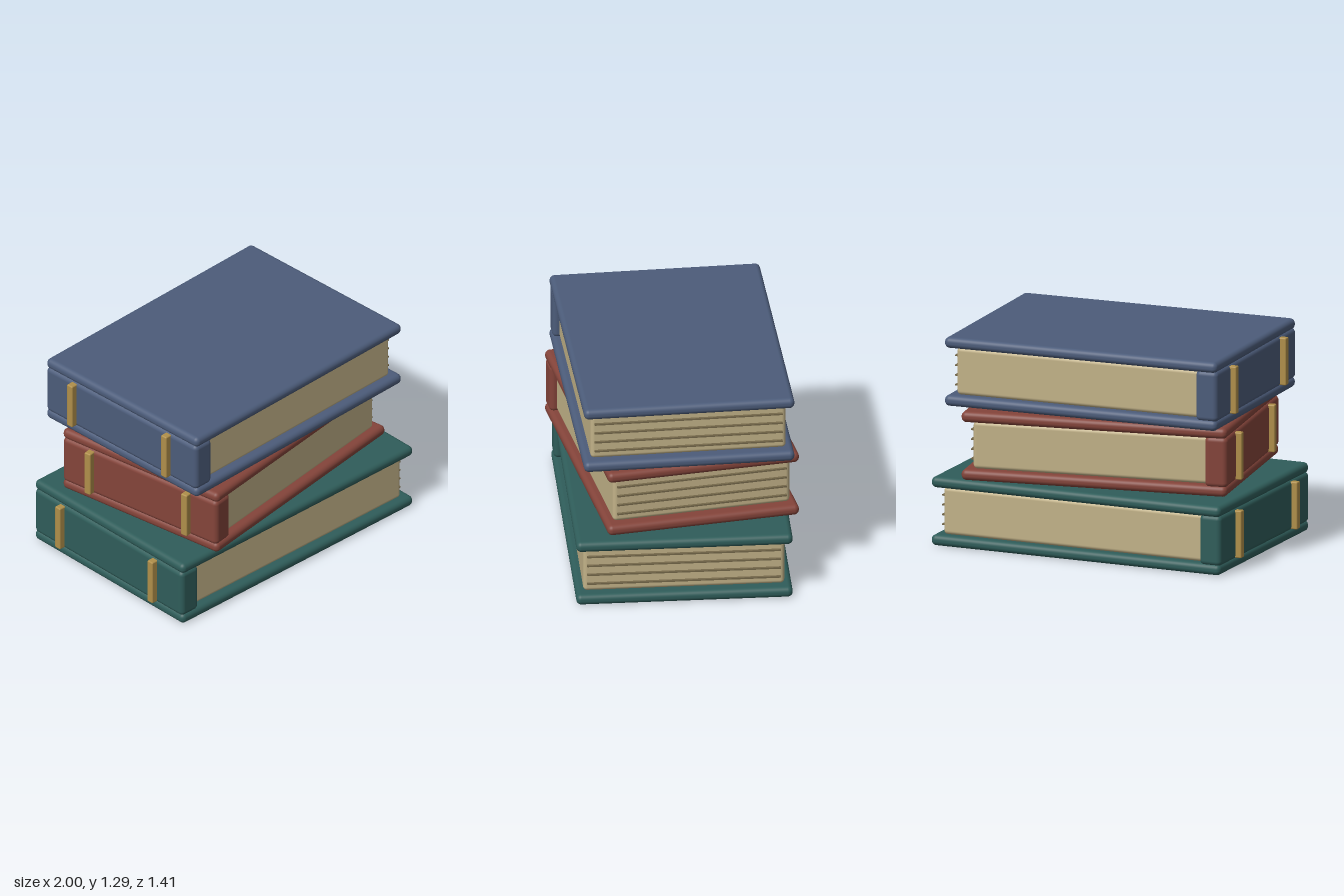
import * as THREE from 'three';
import { RoundedBoxGeometry } from 'three/addons/geometries/RoundedBoxGeometry.js';

const material = (color) => new THREE.MeshStandardMaterial({ color });
const pageMat = material(0xc2b288);
const lineMat = material(0x75684a);
const goldMat = material(0xb08f4a);

const HEIGHT = 0.42;   // one closed book
const PITCH = 0.433;   // book height plus a small gap
const COVER = 0.066;   // cover thickness

// Rounded box from its size and centre
function block(parent, name, size, centre, radius, mat) {
  const mesh = new THREE.Mesh(new RoundedBoxGeometry(...size, 4, radius), mat);
  mesh.name = name;
  mesh.position.set(...centre);
  parent.add(mesh);
}

// A closed book lying flat, spine towards -x
function createBook(name, width, depth, color) {
  const book = new THREE.Group();
  book.name = name;
  const mat = material(color);
  const left = -width / 2;
  const mid = HEIGHT / 2;

  // Covers
  block(book, 'bottomCover', [width, COVER, depth], [0, COVER / 2, 0], 0.03, mat);
  block(book, 'topCover', [width, COVER, depth], [0, HEIGHT - COVER / 2, 0], 0.03, mat);

  // Spine between the covers
  block(book, 'spine', [0.14, 0.31, depth - 0.01], [left + 0.067, mid, 0], 0.03, mat);

  // Page block, set back from the cover edges
  const pageLeft = left + 0.06;
  const pageRight = width / 2 - 0.063;
  const pageDepth = depth - 0.09;
  block(book, 'pages', [pageRight - pageLeft, 0.29, pageDepth],
    [(pageLeft + pageRight) / 2, mid, 0], 0.025, pageMat);

  // Page lines along the fore edge
  for (let i = 0; i < 4; i++) {
    const line = new THREE.Mesh(new THREE.BoxGeometry(0.03, 0.009, pageDepth - 0.045), lineMat);
    line.name = 'pageLine';
    line.position.set(pageRight + 0.001, mid + (i - 1.5) * 0.06, 0);
    book.add(line);
  }

  // Raised bands across the spine
  for (const side of [-1, 1]) {
    block(book, 'spineBand', [0.05, 0.29, 0.045],
      [left - 0.015, mid, side * depth * 0.31], 0.008, goldMat);
  }
  return book;
}

export function createModel() {
  const stack = new THREE.Group();
  stack.name = 'bookStack';

  // Name, width, depth, turn, colour: from the bottom up
  const books = [
    ['bottomBook', 1.89, 1.29, -0.07, 0x2f5d5a],
    ['middleBook', 1.64, 1.17, 0.085, 0x84443a],
    ['topBook', 1.75, 1.26, -0.03, 0x4c5c7a],
  ];
  books.forEach(([name, width, depth, turn, color], i) => {
    const book = createBook(name, width, depth, color);
    book.position.set(0.01, i * PITCH, 0);
    book.rotation.y = turn;
    stack.add(book);
  });
  return stack;
}
